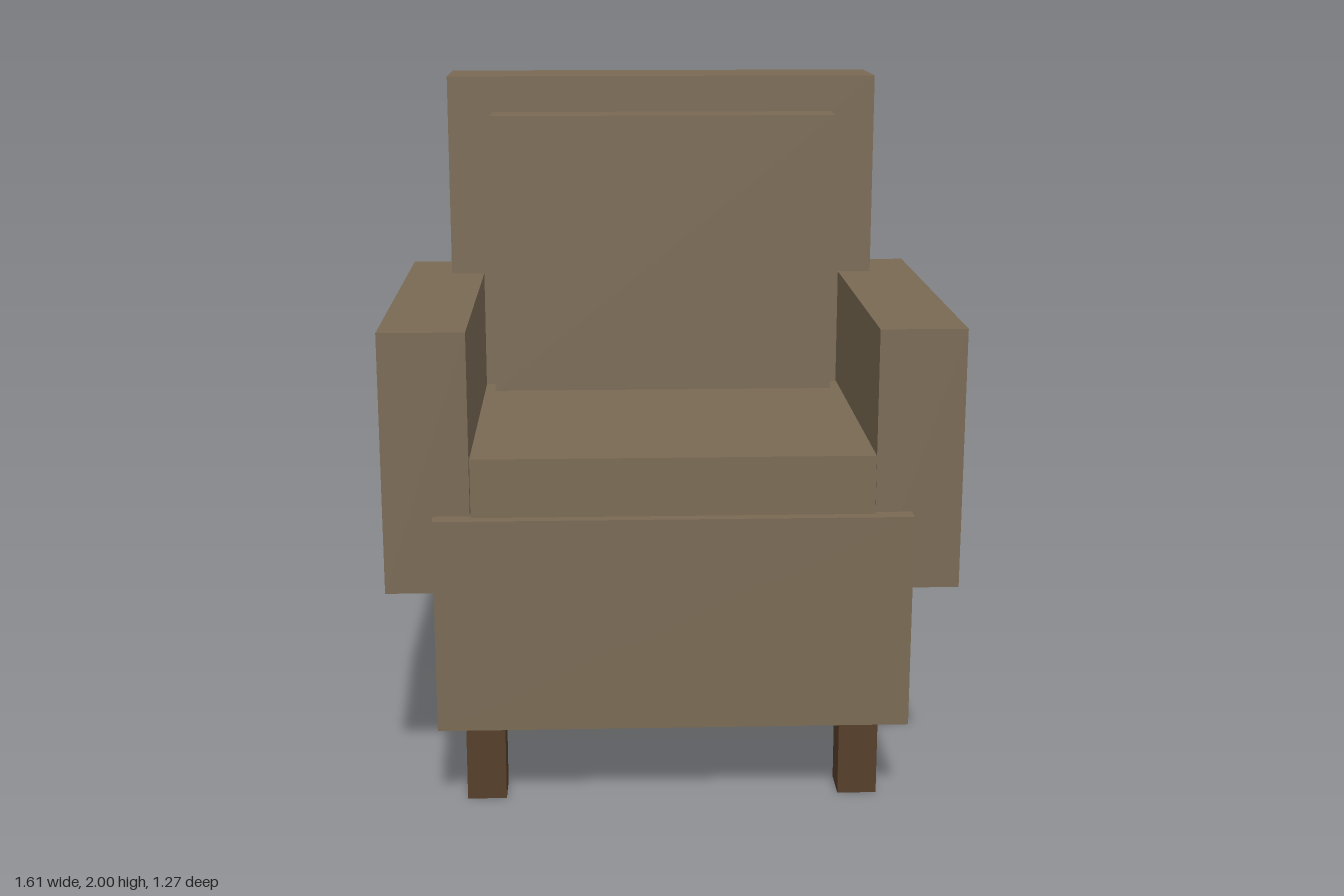
import * as THREE from 'three';

export function createModel() {
  const chair = new THREE.Group();
  chair.name = 'armchair';

  const fabric = new THREE.MeshStandardMaterial({ color: 0x7a6a54 });
  fabric.name = 'brown fabric';
  const wood = new THREE.MeshStandardMaterial({ color: 0x553e2a });
  wood.name = 'dark wood';

  // Box spanning the given [min, max] ranges
  function block(name, material, [x0, x1], [y0, y1], [z0, z1]) {
    const mesh = new THREE.Mesh(new THREE.BoxGeometry(x1 - x0, y1 - y0, z1 - z0), material);
    mesh.position.set((x0 + x1) / 2, (y0 + y1) / 2, (z0 + z1) / 2);
    mesh.name = name;
    chair.add(mesh);
  }

  // Upholstered body
  block('base', fabric, [-0.665, 0.665], [0.25, 0.865], [-0.635, 0.635]);
  block('backrest', fabric, [-0.665, 0.665], [0.865, 2], [-0.625, -0.35]);

  // Loose cushions
  block('seatCushion', fabric, [-0.56, 0.56], [0.865, 1.032], [-0.31, 0.602]);
  block('backCushion', fabric, [-0.528, 0.528], [1.032, 1.89], [-0.35, -0.213]);

  // Arms and legs, mirrored left and right
  for (const [side, s] of [['left', 1], ['right', -1]]) {
    const span = (a, b) => (s > 0 ? [a, b] : [-b, -a]);
    block(side + 'Arm', fabric, span(0.563, 0.804), [0.642, 1.383], [-0.585, 0.585]);
    block(side + 'FrontLeg', wood, span(0.48, 0.592), [0, 0.25], [0.433, 0.545]);
    block(side + 'BackLeg', wood, span(0.48, 0.592), [0, 0.25], [-0.545, -0.433]);
  }

  return chair;
}
